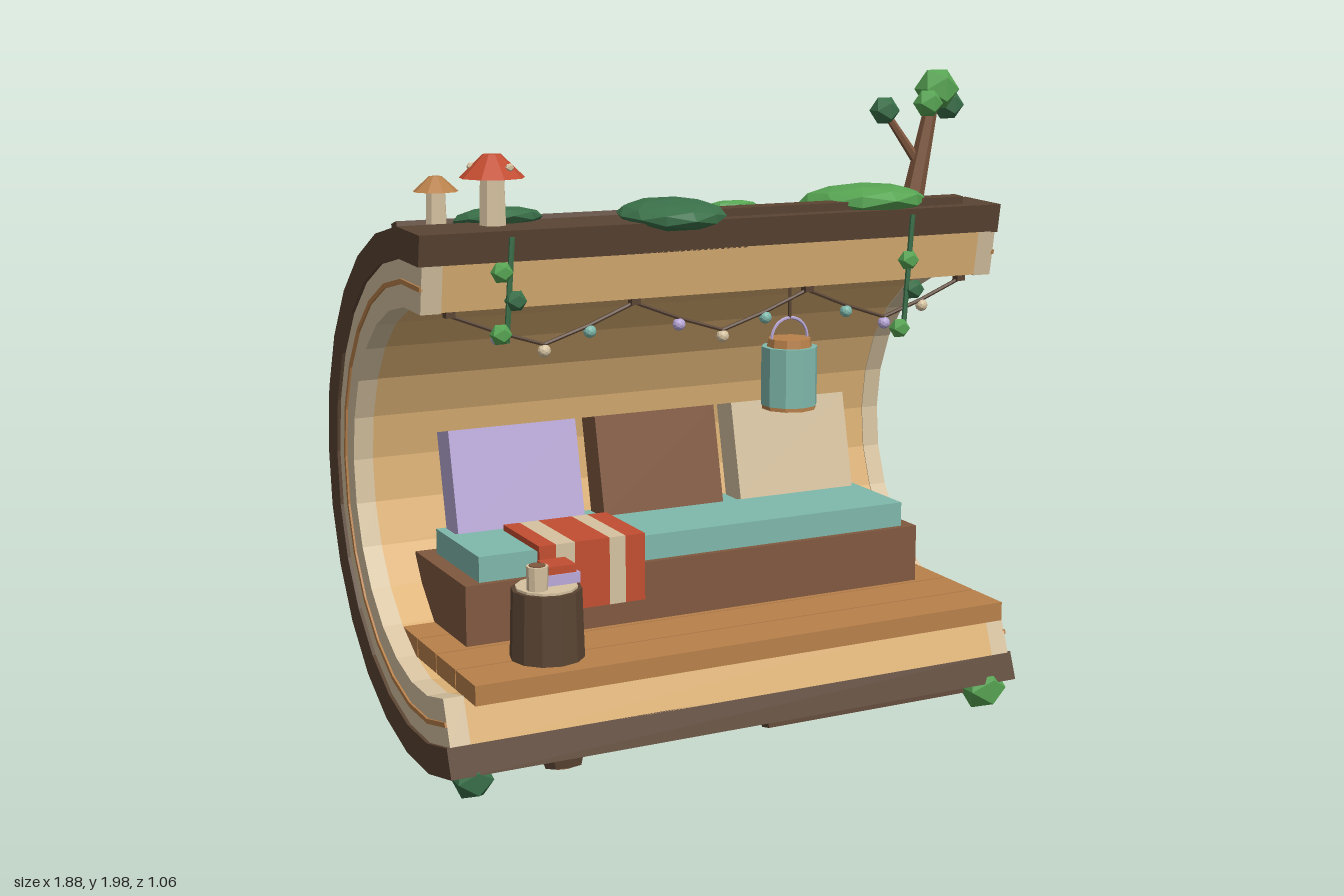
import * as THREE from 'three';

const mat = (name, color) => {
  const m = new THREE.MeshStandardMaterial({ color, flatShading: true });
  m.name = name;
  return m;
};

const CY = 0.825, CZ = 0.235; // axis of the hollow log
const RAD = Math.PI / 180;

export function createModel() {
  const bark = mat('bark', 0x5a4433), wood = mat('pale wood', 0xdbb074), cream = mat('cream', 0xd6c2a0),
    oak = mat('orange wood', 0xb8804a), brown = mat('brown', 0x80583f), teal = mat('teal', 0x7fb8ab),
    lavender = mat('lavender', 0xb9a8d8), red = mat('red', 0xc24d31),
    darkGreen = mat('dark green', 0x3a7049), green = mat('light green', 0x57a553);

  const root = new THREE.Group();
  root.name = 'logHouse';

  const add = (name, geo, material, x = 0, y = 0, z = 0, parent = root) => {
    const m = new THREE.Mesh(geo, material);
    m.name = name;
    m.position.set(x, y, z);
    parent.add(m);
    return m;
  };
  // box from minimum and maximum corners
  const box = (name, material, x0, x1, y0, y1, z0, z1) =>
    add(name, new THREE.BoxGeometry(x1 - x0, y1 - y0, z1 - z0), material, (x0 + x1) / 2, (y0 + y1) / 2, (z0 + z1) / 2);
  const cyl = (name, material, rTop, rBottom, y0, y1, x, z, sides = 8, parent = root) =>
    add(name, new THREE.CylinderGeometry(rTop, rBottom, y1 - y0, sides), material, x, (y0 + y1) / 2, z, parent);
  const ball = (name, material, r, x, y, z) => add(name, new THREE.IcosahedronGeometry(r, 0), material, x, y, z);
  // straight rod between two points
  const rod = (name, material, a, b, rA, rB = rA, sides = 6) => {
    const p = new THREE.Vector3(...a), q = new THREE.Vector3(...b), d = q.clone().sub(p);
    const m = add(name, new THREE.CylinderGeometry(rB, rA, d.length(), sides), material);
    m.position.copy(p).add(q).multiplyScalar(0.5);
    m.quaternion.setFromUnitVectors(new THREE.Vector3(0, 1, 0), d.normalize());
    return m;
  };
  // open arc of 15 facets, extruded along x
  const arc = (name, material, r0, r1, x0, x1) => {
    const pts = [];
    const put = (r, i) => {
      const a = (81 + 14 * i) * RAD;
      pts.push(new THREE.Vector2(-CZ - r * Math.cos(a), CY + r * Math.sin(a)));
    };
    for (let i = 0; i <= 15; i++) put(r1, i);
    for (let i = 15; i >= 0; i--) put(r0, i);
    const geo = new THREE.ExtrudeGeometry(new THREE.Shape(pts), { depth: x1 - x0, bevelEnabled: false });
    geo.rotateY(Math.PI / 2);
    return add(name, geo, material, x0, 0, 0);
  };
  // group sitting on the bark at an angle, with its y axis pointing outwards
  const onBark = (name, x, deg, r = 0.764) => {
    const g = new THREE.Group();
    g.name = name;
    g.position.set(x, CY + r * Math.sin(deg * RAD), CZ + r * Math.cos(deg * RAD));
    g.rotation.x = (90 - deg) * RAD;
    root.add(g);
    return g;
  };

  // Log shell, lining and end rings
  arc('barkShell', bark, 0.682, 0.77, -0.94, 0.94);
  arc('lining', wood, 0.55, 0.685, -0.87, 0.87);
  for (const s of [-1, 1]) {
    const span = (a, b) => (s > 0 ? [a, b] : [-b, -a]);
    arc('endRing', cream, 0.547, 0.685, ...span(0.87, 0.93));
    arc('growthRing', oak, 0.612, 0.626, ...span(0.925, 0.936));
  }

  // Bark ridges and knots
  for (const [x0, x1, deg] of [[-0.85, -0.09, 158], [0.18, 0.89, 130], [-0.9, 0.12, 105],
    [-0.07, 0.83, 86], [-0.77, -0.18, 271], [0.09, 0.93, 284]]) {
    const g = onBark('barkRidge', (x0 + x1) / 2, deg);
    add('ridge', new THREE.BoxGeometry(x1 - x0, 0.05, 0.045), bark, 0, 0, 0, g);
  }
  for (const [x, deg] of [[-0.55, 117], [-0.57, 284]]) {
    const g = onBark('knot', x, deg);
    cyl('knotRim', bark, 0.055, 0.072, -0.02, 0.03, 0, 0, 8, g);
    cyl('knotHeart', brown, 0.03, 0.03, 0.02, 0.036, 0, 0, 6, g);
  }

  // Deck planks
  for (let i = 0; i < 4; i++) {
    const z = 0.523 - i * 0.156;
    box('deckPlank', oak, -0.87, 0.87, 0.312, 0.37, z - 0.15, z);
  }

  // Bench, mattress and cushions
  box('benchBase', brown, -0.77, 0.765, 0.37, 0.55, -0.23, 0.195);
  box('mattress', teal, -0.72, 0.72, 0.55, 0.627, -0.18, 0.175);
  for (const [x, m] of [[-0.483, lavender], [-0.002, brown], [0.477, cream]]) {
    const c = add('cushion', new THREE.BoxGeometry(0.415, 0.31, 0.1), m, x, 0.773, -0.152);
    c.rotation.x = -13 * RAD;
  }

  // Striped blanket draped over the seat
  const edges = [-0.545, -0.492, -0.432, -0.32, -0.268, -0.204];
  for (let i = 0; i < 5; i++) {
    const m = i % 2 ? cream : red;
    box('blanketTop', m, edges[i], edges[i + 1], 0.627, 0.645, -0.07, 0.195);
    box('blanketDrop', m, edges[i], edges[i + 1], 0.44, 0.645, 0.195, 0.208);
  }

  // Stump table with mug and books
  cyl('stumpTable', bark, 0.102, 0.108, 0.37, 0.572, -0.592, 0.37, 12);
  cyl('stumpTop', cream, 0.09, 0.09, 0.572, 0.579, -0.592, 0.37, 12);
  cyl('mug', cream, 0.032, 0.03, 0.579, 0.648, -0.632, 0.4, 10);
  cyl('mugDrink', brown, 0.024, 0.024, 0.645, 0.651, -0.632, 0.4, 10);
  box('lowerBook', lavender, -0.605, -0.495, 0.579, 0.61, 0.29, 0.39);
  box('upperBook', red, -0.59, -0.505, 0.61, 0.633, 0.3, 0.385);

  // Lantern
  const LX = 0.305, LZ = 0.17;
  cyl('lanternBody', teal, 0.087, 0.087, 0.985, 1.165, LX, LZ, 10);
  cyl('lanternFoot', oak, 0.084, 0.084, 0.973, 0.985, LX, LZ, 10);
  cyl('lanternCap', oak, 0.066, 0.07, 1.165, 1.19, LX, LZ, 10);
  add('lanternHandle', new THREE.TorusGeometry(0.062, 0.005, 6, 16, Math.PI), lavender, LX, 1.19, LZ);
  rod('lanternCord', bark, [LX, 1.25, LZ], [LX, 1.38, LZ], 0.005);
  box('lanternHook', bark, LX - 0.017, LX + 0.017, 1.35, 1.375, LZ - 0.017, LZ + 0.017);

  // Swagged string of lights
  const posts = [-0.84, -0.28, 0.29, 0.83], bulbs = [lavender, cream, teal, lavender, cream, teal, teal, lavender, cream];
  for (let s = 0; s < 3; s++) {
    const at = (i) => [posts[s] + (posts[s + 1] - posts[s]) * i / 4, [1.355, 1.3, 1.255, 1.3, 1.355][i], 0.3];
    for (let i = 0; i < 4; i++) rod('lightString', bark, at(i), at(i + 1), 0.006);
    for (let i = 1; i < 4; i++) {
      const [x, y, z] = at(i);
      add('bulb', new THREE.IcosahedronGeometry(0.019, 1), bulbs[s * 3 + i - 1], x, y - 0.018, z);
    }
  }
  for (const x of posts) box('stringHook', bark, x - 0.014, x + 0.014, 1.35, 1.385, 0.286, 0.314);

  // Hanging vines
  const vines = [
    [[-0.68, 1.57], [-0.7, 1.28], [[-0.712, 1.475], [-0.673, 1.395], [-0.718, 1.305]]],
    [[0.61, 1.57], [0.585, 1.22], [[0.597, 1.435], [0.618, 1.345], [0.57, 1.23]]],
  ];
  for (const [a, b, leaves] of vines) {
    rod('vineStem', darkGreen, [...a, 0.37], [...b, 0.37], 0.008);
    leaves.forEach(([x, y], i) => ball('vineLeaf', i % 2 ? darkGreen : green, 0.032, x, y, 0.372));
  }

  // Moss mounds on the bark
  for (const [x, deg, r, m] of [[-0.62, 99, 0.13, darkGreen], [-0.15, 87, 0.16, darkGreen],
    [0.175, 109, 0.115, green], [0.55, 94, 0.195, green]]) {
    const geo = new THREE.IcosahedronGeometry(r, 1).scale(1, 0.28, 1);
    add('mossMound', geo, m, 0, 0.012, 0, onBark('moss', x, deg));
  }

  // Tufts under the front lip
  ball('leftTuft', green, 0.074, 0.85, 0.08, 0.46);
  ball('rightTuft', darkGreen, 0.062, -0.86, 0.08, 0.46);

  // Small tree
  rod('treeTrunk', brown, [0.69, 1.59, 0.24], [0.75, 1.9, 0.25], 0.034, 0.02);
  rod('treeBranch', brown, [0.712, 1.71, 0.24], [0.61, 1.86, 0.215], 0.016, 0.011);
  for (const [m, r, x, y, z] of [[green, 0.068, 0.762, 1.935, 0.255], [green, 0.045, 0.705, 1.895, 0.295],
    [darkGreen, 0.05, 0.83, 1.885, 0.215], [darkGreen, 0.046, 0.602, 1.872, 0.215]])
    ball('treeFoliage', m, r, x, y, z);

  // Mushrooms
  const mushroom = (name, m, x, z, rStem, rCap, yCap, yTop) => {
    cyl(name + 'Stem', cream, rStem * 0.9, rStem, 1.57, yCap, x, z, 8);
    cyl(name + 'Cap', m, rCap * 0.28, rCap, yCap, yTop, x, z, 9);
  };
  mushroom('redMushroom', red, -0.68, 0.23, 0.04, 0.093, 1.72, 1.785);
  mushroom('orangeMushroom', oak, -0.812, 0.138, 0.031, 0.064, 1.68, 1.722);
  for (const [dx, dz] of [[0.03, 0.055], [-0.05, -0.03], [0.045, -0.035]])
    ball('mushroomSpot', cream, 0.013, -0.68 + dx, 1.75, 0.23 + dz);

  return root;
}
